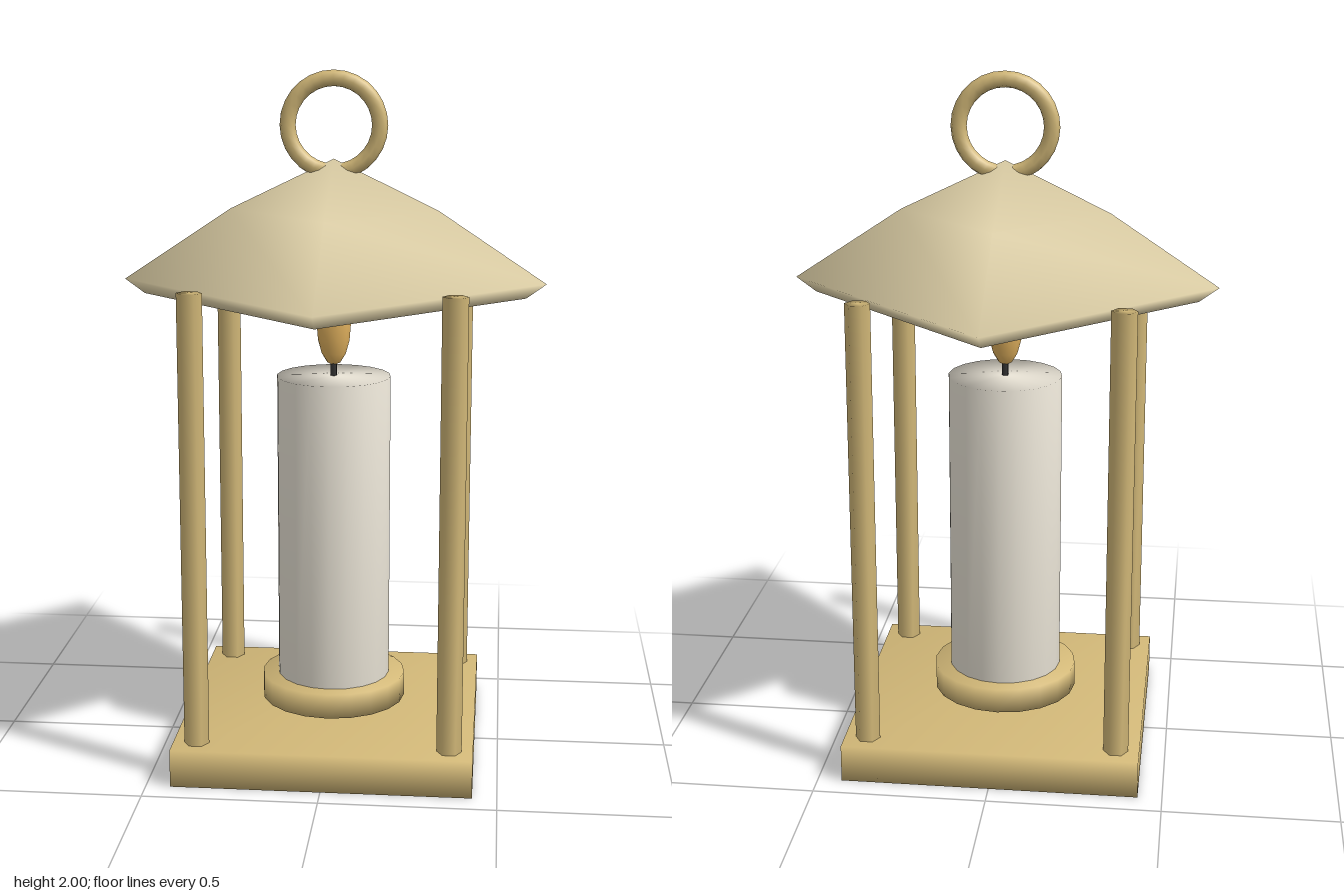
import * as THREE from 'three';
import { mergeVertices } from 'three/addons/utils/BufferGeometryUtils.js';

// Shares vertices across edges so shading flows softly over the corners
function soften(geometry) {
  geometry.deleteAttribute('uv');
  geometry.deleteAttribute('normal');
  const merged = mergeVertices(geometry, 1e-4);
  merged.computeVertexNormals();
  return merged;
}

export function createModel() {
  const lantern = new THREE.Group();
  lantern.name = 'lantern';

  const brass = new THREE.MeshStandardMaterial({ color: 0xd2b878 });
  const roofPaint = new THREE.MeshStandardMaterial({ color: 0xd8caa2, side: THREE.DoubleSide });
  const wax = new THREE.MeshStandardMaterial({ color: 0xeee8da });
  const char = new THREE.MeshStandardMaterial({ color: 0x333333 });
  const fire = new THREE.MeshStandardMaterial({ color: 0xe2b25e });

  const add = (name, geometry, material, x, y, z) => {
    const mesh = new THREE.Mesh(soften(geometry), material);
    mesh.name = name;
    mesh.position.set(x, y, z);
    lantern.add(mesh);
    return mesh;
  };
  // Upright cylinder given by its bottom and top heights
  const upright = (name, r, y0, y1, sides, material, x = 0, z = 0) =>
    add(name, new THREE.CylinderGeometry(r, r, y1 - y0, sides), material, x, (y0 + y1) / 2, z);

  // Square base
  add('base', new THREE.BoxGeometry(0.86, 0.11, 0.86), brass, 0, 0.055, 0);

  // Four hexagonal corner posts
  for (const x of [-1, 1]) {
    for (const z of [-1, 1]) {
      const post = upright('post', 0.036, 0.1, 1.415, 6, brass, x * 0.362, z * 0.362);
      post.rotation.y = Math.PI / 6;
    }
  }

  // Candle on its dish, with wick and flame
  upright('dish', 0.214, 0.135, 0.208, 20, brass);
  upright('candle', 0.167, 0.2, 1.12, 20, wax);
  upright('wick', 0.01, 1.11, 1.18, 6, char);
  const flame = add('flame', new THREE.SphereGeometry(0.05, 10, 8), fire, 0, 1.272, 0);
  flame.scale.set(1, 2.45, 0.7);

  // Four-sided roof turned 45 degrees to the base, with an inward lip
  const roofProfile = [[0.555, 1.355], [0.613, 1.397], [0.3, 1.605], [0, 1.75]]
    .map(([r, y]) => new THREE.Vector2(r, y));
  add('roof', new THREE.LatheGeometry(roofProfile, 4), roofPaint, 0, 0, 0);

  // Hanging ring
  add('hangingRing', new THREE.TorusGeometry(0.132, 0.023, 8, 28), brass, 0, 1.845, 0);

  return lantern;
}
